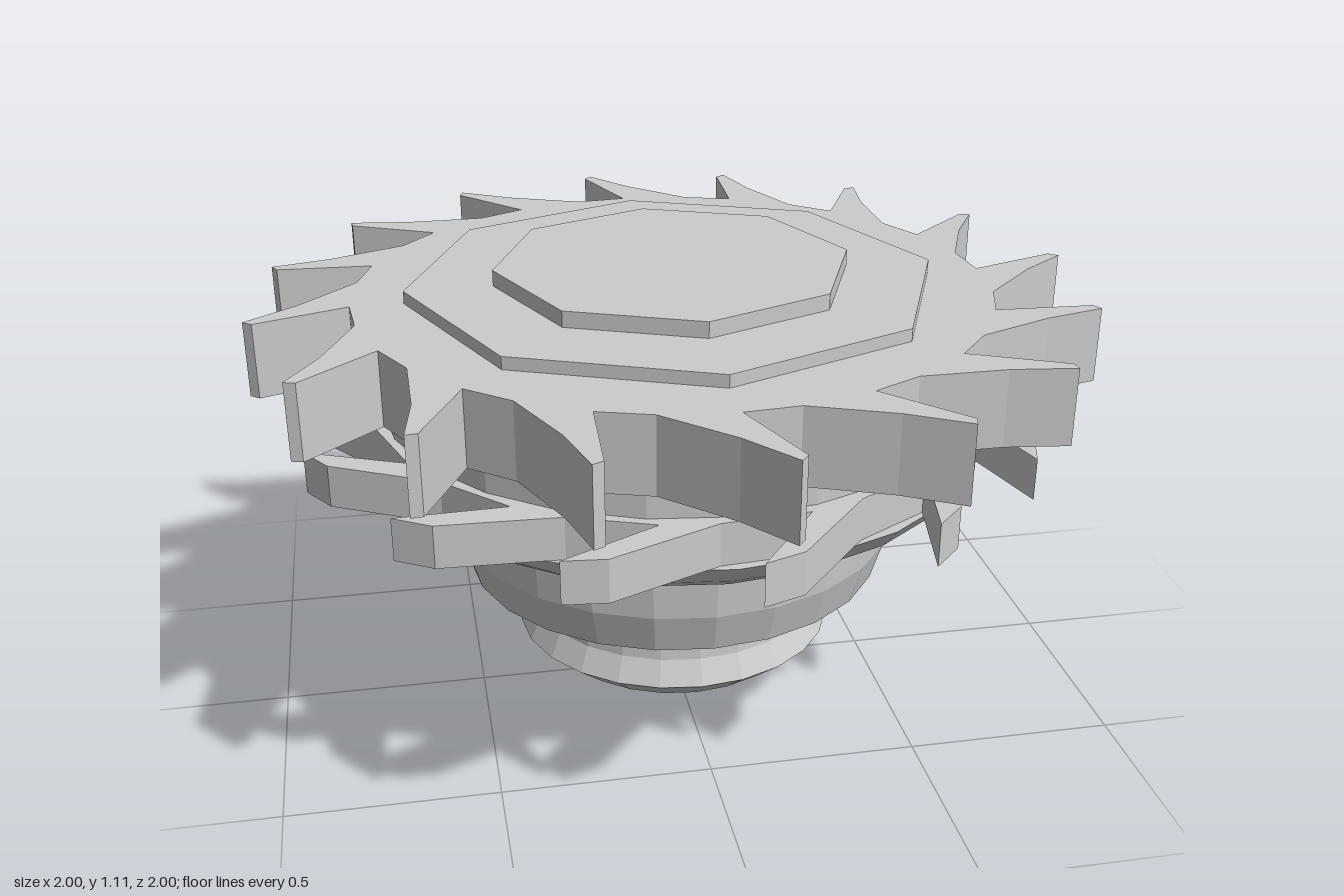
import * as THREE from 'three';

const material = new THREE.MeshStandardMaterial({ color: 0xcccccc, flatShading: true });

function add(group, name, geometry, y = 0) {
  const mesh = new THREE.Mesh(geometry, material);
  mesh.name = name;
  mesh.position.y = y;
  group.add(mesh);
}

// Flat toothed ring: each tooth is a list of [degrees clockwise from the back, radius]
function toothedDisc(count, tooth, height) {
  const points = [];
  for (let i = 0; i < count; i++) {
    for (const [degrees, r] of tooth) {
      const a = THREE.MathUtils.degToRad(degrees + (i * 360) / count);
      points.push(new THREE.Vector2(r * Math.sin(a), r * Math.cos(a)));
    }
  }
  const geometry = new THREE.ExtrudeGeometry(new THREE.Shape(points), { depth: height, bevelEnabled: false });
  return geometry.rotateX(-Math.PI / 2);
}

export function createModel() {
  const group = new THREE.Group();
  group.name = 'toothedSpinner';

  // Stepped body from the tip up to the underside of the lower blades
  const profile = [
    [0, 0.005], [0.1, 0.015], [0.12, 0.05], [0.31, 0.1], [0.395, 0.17],
    [0.365, 0.23], [0.36, 0.3], [0.515, 0.35], [0.545, 0.45], [0.555, 0.6],
    [0.66, 0.6], [0.71, 0.635], [0.75, 0.685], [0, 0.685],
  ].map(([r, y]) => new THREE.Vector2(r, y));
  add(group, 'body', new THREE.LatheGeometry(profile, 24));

  // Lower blades, swept clockwise
  const lowerTooth = [[-23, 0.73], [-7, 0.885], [-1, 0.912], [-13, 0.73]];
  add(group, 'lowerBlades', toothedDisc(14, lowerTooth, 0.1), 0.685);

  // Collar between the two sets of blades
  add(group, 'collar', new THREE.CylinderGeometry(0.705, 0.705, 0.1, 24), 0.82);

  // Upper blades, swept counterclockwise
  const upperTooth = [[0, 0.76], [-4.5, 0.98], [-3.4, 1.0], [2, 0.88], [13, 0.76]];
  add(group, 'upperBlades', toothedDisc(16, upperTooth, 0.18), 0.865);

  // Octagonal plates on top
  add(group, 'largePlate', new THREE.CylinderGeometry(0.635, 0.635, 0.035, 8), 1.0575);
  add(group, 'smallPlate', new THREE.CylinderGeometry(0.427, 0.427, 0.04, 8), 1.093);

  return group;
}
